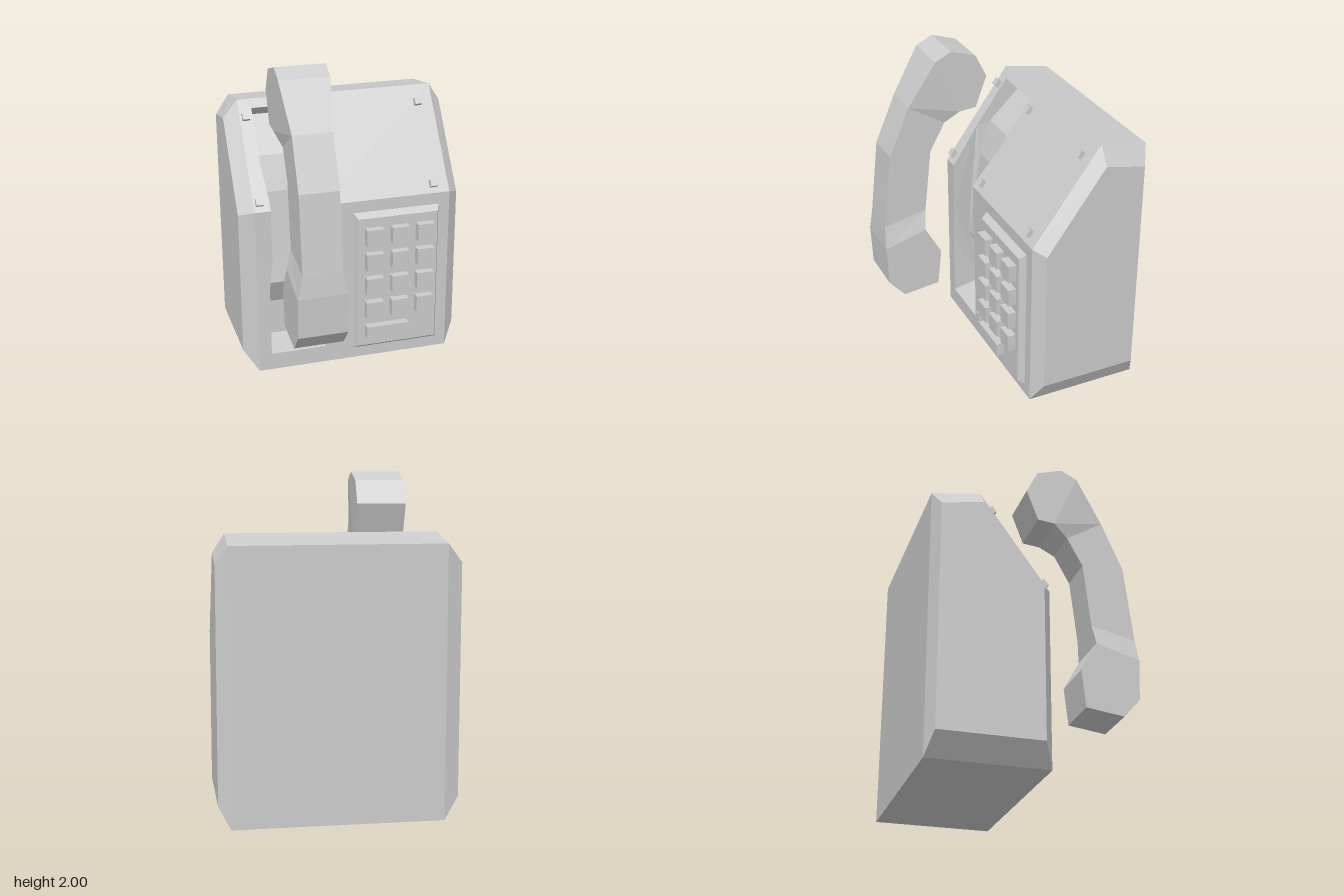
import * as THREE from 'three';

const material = new THREE.MeshStandardMaterial({ color: 0xcccccc, flatShading: true });

// Collects flat polygons into one geometry
class Builder {
  constructor() { this.positions = []; }
  polygon(...pts) {
    for (let i = 1; i < pts.length - 1; i++) this.positions.push(...pts[0], ...pts[i], ...pts[i + 1]);
  }
  // Triangulates a 2D outline and places each of its points with a rule
  patch(outline, place, flip = false) {
    const flat = new THREE.ShapeGeometry(new THREE.Shape(outline.map(([u, v]) => new THREE.Vector2(u, v)))).toNonIndexed();
    const p = flat.attributes.position;
    for (let i = 0; i < p.count; i += 3) {
      const tri = [0, 1, 2].map((k) => place(p.getX(i + k), p.getY(i + k)));
      this.polygon(...(flip ? tri.reverse() : tri));
    }
  }
  mesh(name) {
    const g = new THREE.BufferGeometry();
    g.setAttribute('position', new THREE.Float32BufferAttribute(this.positions, 3));
    g.computeVertexNormals();
    const m = new THREE.Mesh(g, material);
    m.name = name;
    return m;
  }
}

function box(name, w, h, d, x, y, z) {
  const m = new THREE.Mesh(new THREE.BoxGeometry(w, h, d), material);
  m.name = name;
  m.position.set(x, y, z);
  return m;
}

// Front surface of the housing: upright below the crease, sloping above it
const FRONT = 0.06, CREASE = 1.08, TOP = 1.66;
const frontZ = (y) => (y <= CREASE ? FRONT : FRONT - (0.42 * (y - CREASE)) / (TOP - CREASE));

// Cradle recess, waisted in the middle
const CX = -0.355;
const waist = [[0.55, 0.175], [0.75, 0.155], [1.13, 0.155], [1.32, 0.175]];
function halfWidth(y) {
  for (let i = 0; i < waist.length - 1; i++) {
    const [y0, w0] = waist[i], [y1, w1] = waist[i + 1];
    if (y >= y0 && y <= y1) return w0 + ((w1 - w0) * (y - y0)) / (y1 - y0);
  }
  return 0.175;
}

function createBody() {
  const b = new Builder();
  const xl = -0.61, xr = 0.63, side = 0.7;
  // Side profiles as [z, y]: the middle section and the smaller bevelled ends
  const outer = [[FRONT, 0], [FRONT, CREASE], [-0.36, TOP], [-0.65, 1.61], [-0.65, 0]];
  const inner = [[0, 0.13], [0, 1.05], [-0.36, 1.55], [-0.61, 1.5], [-0.61, 0.13]];
  const at = (x, [z, y]) => [x, y, z];
  for (let i = 0; i < 5; i++) {
    const j = (i + 1) % 5;
    b.polygon(at(xr, outer[i]), at(side, inner[i]), at(side, inner[j]), at(xr, outer[j]));
    b.polygon(at(xl, outer[j]), at(-side, inner[j]), at(-side, inner[i]), at(xl, outer[i]));
    if (i > 1) b.polygon(at(xl, outer[i]), at(xr, outer[i]), at(xr, outer[j]), at(xl, outer[j]));
  }
  b.polygon(...inner.map((p) => at(side, p)).reverse());
  b.polygon(...inner.map((p) => at(-side, p)));

  // Front panels, each notched for the recess
  const onFront = (x, y) => [x, y, frontZ(y)];
  const notch = (ys) => [
    ...ys.map((y) => [CX + halfWidth(y), y]),
    ...ys.map((y) => [CX - halfWidth(y), y]).reverse(),
  ];
  b.patch([[xl, 0], [xr, 0], [xr, CREASE], ...notch([CREASE, 0.75, 0.55, 0.11]), [xl, CREASE]], onFront);
  b.patch([[xl, TOP], [xr, TOP], [xr, CREASE], ...notch([CREASE, 1.13, 1.32, 1.61]), [xl, CREASE]], onFront);
  return b.mesh('housing');
}

function createCradle() {
  const b = new Builder();
  // Recess floor as [z, y], top to bottom, with a hump between two cups
  const floor = [[frontZ(1.61), 1.61], [-0.42, 1.54], [-0.21, 1.34], [-0.13, 1.13], [-0.08, 0.75],
    [-0.05, 0.55], [-0.14, 0.38], [-0.14, 0.15], [FRONT, 0.11]];
  const at = (s, [z, y]) => [CX + s * halfWidth(y), y, z];
  for (let i = 0; i < floor.length - 1; i++) {
    b.polygon(at(-1, floor[i + 1]), at(1, floor[i + 1]), at(1, floor[i]), at(-1, floor[i]));
  }
  // Side walls between floor and front surface
  const rim = [0.55, 0.75, CREASE, 1.13, 1.32].map((y) => [frontZ(y), y]);
  const wall = [...floor, ...rim].map(([z, y]) => [-z, y]);
  for (const s of [-1, 1]) b.patch(wall, (u, v) => at(s, [-u, v]), s > 0);
  return b.mesh('cradle');
}

function createHandset() {
  const b = new Builder();
  const cx = -0.35;
  // Cross-sections: outer z, outer y, inner z, inner y, half width
  const sections = [
    [0.19, 2.0, 0.035, 1.95, 0.15],
    [0.29, 1.95, -0.035, 1.81, 0.15],
    [0.29, 1.95, 0.035, 1.62, 0.15],
    [0.29, 1.95, 0.14, 1.61, 0.15],
    [0.455, 1.68, 0.23, 1.54, 0.118],
    [0.585, 1.38, 0.325, 1.365, 0.118],
    [0.64, 0.91, 0.37, 0.97, 0.118],
    [0.65, 0.77, 0.385, 0.845, 0.15],
    [0.64, 0.52, 0.285, 0.665, 0.15],
    [0.54, 0.405, 0.31, 0.435, 0.15],
  ];
  const rings = sections.map(([zf, yf, zb, yb, w]) => [
    [cx - w, yf, zf], [cx + w, yf, zf], [cx + w, yb, zb], [cx - w, yb, zb],
  ]);
  for (let i = 0; i < rings.length - 1; i++) {
    const cur = rings[i], next = rings[i + 1];
    for (let j = 0; j < 4; j++) {
      const k = (j + 1) % 4;
      const quad = [next[j], next[k], cur[k], cur[j]];
      if (j === 3) quad.push(quad.shift()); // mirrored diagonal
      b.polygon(...quad);
    }
  }
  b.polygon(...rings[0]);
  b.polygon(...[...rings[rings.length - 1]].reverse());
  return b.mesh('handset');
}

function createKeypad() {
  const group = new THREE.Group();
  group.name = 'keypad';
  // Bevelled plate
  const plate = box('keypadPlate', 0.555, 0.935, 0.04, 0.2825, 0.5375, 0.08);
  const p = plate.geometry.attributes.position;
  for (let i = 0; i < p.count; i++) {
    if (p.getZ(i) > 0) p.setXY(i, p.getX(i) * 0.93, p.getY(i) * 0.936);
  }
  plate.geometry.computeVertexNormals();
  group.add(plate);
  // Twelve square keys and one wide key
  for (let row = 0; row < 4; row++) {
    for (let col = 0; col < 3; col++) {
      group.add(box('key', 0.11, 0.11, 0.05, 0.123 + col * 0.165, 0.86 - row * 0.165, 0.125));
    }
  }
  group.add(box('wideKey', 0.275, 0.085, 0.05, 0.2075, 0.207, 0.125));
  return group;
}

export function createModel() {
  const model = new THREE.Group();
  model.name = 'telephone';
  model.add(createBody(), createCradle(), createHandset(), createKeypad());

  // Studs on the sloping panel
  for (const x of [-0.574, -0.127, 0.53]) {
    for (const y of [1.565, 1.128]) {
      const stud = box('stud', 0.045, 0.045, 0.06, x, y, frontZ(y));
      stud.rotation.x = -Math.atan2(0.42, TOP - CREASE);
      model.add(stud);
    }
  }
  model.add(box('smallButton', 0.045, 0.045, 0.03, -0.085, 0.175, 0.073));
  return model;
}
